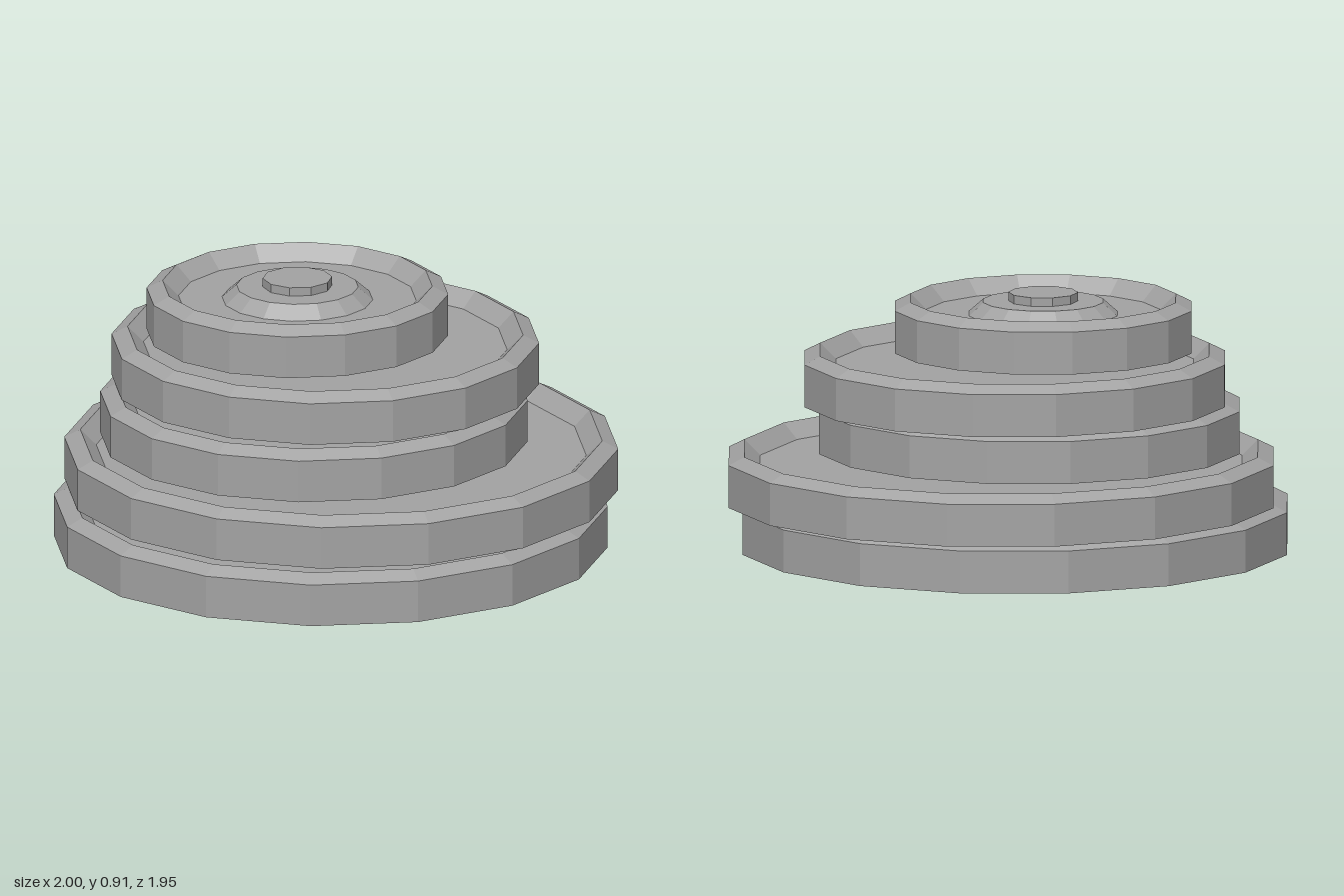
import * as THREE from 'three';

const grey = new THREE.MeshStandardMaterial({ color: 0xa3a3a3 });
grey.name = 'grey';

// Faceted solid of revolution from [radius, height] pairs, bottom to top
function faceted(profile, sides) {
  const points = profile.map(([r, y]) => new THREE.Vector2(r, y));
  const geometry = new THREE.LatheGeometry(points, sides).toNonIndexed();
  geometry.computeVertexNormals();
  return geometry;
}

// Closed tray: straight wall, ridged rim and a sunken floor
function tier(radius) {
  return faceted([
    [0, 0], [radius, 0], [radius, 0.148], [radius - 0.055, 0.176],
    [radius - 0.11, 0.122], [0, 0.122],
  ], 16);
}

export function createModel() {
  const group = new THREE.Group();
  group.name = 'tieredStack';

  function add(name, geometry, x, y, z) {
    const mesh = new THREE.Mesh(geometry, grey);
    mesh.name = name;
    mesh.position.set(x, y, z);
    group.add(mesh);
    return mesh;
  }

  // Staggered tiers: radius, x, z
  const tiers = [
    [0.955, -0.044, 0.022],
    [0.955, 0.042, -0.022],
    [0.737, -0.046, -0.064],
    [0.737, 0.042, -0.106],
    [0.52, -0.045, -0.152],
  ];
  tiers.forEach(([r, x, z], i) => add(`tier${i + 1}`, tier(r), x, i * 0.1785, z));

  // Raised boss and button in the middle of the top tier
  add('boss', faceted([[0.26, 0], [0.21, 0.045], [0, 0.045]], 16), -0.045, 0.836, -0.152);
  const button = add('button', faceted([[0.12, 0], [0.12, 0.032], [0, 0.032]], 10), -0.045, 0.879, -0.152);
  button.rotation.y = Math.PI / 2;

  return group;
}
